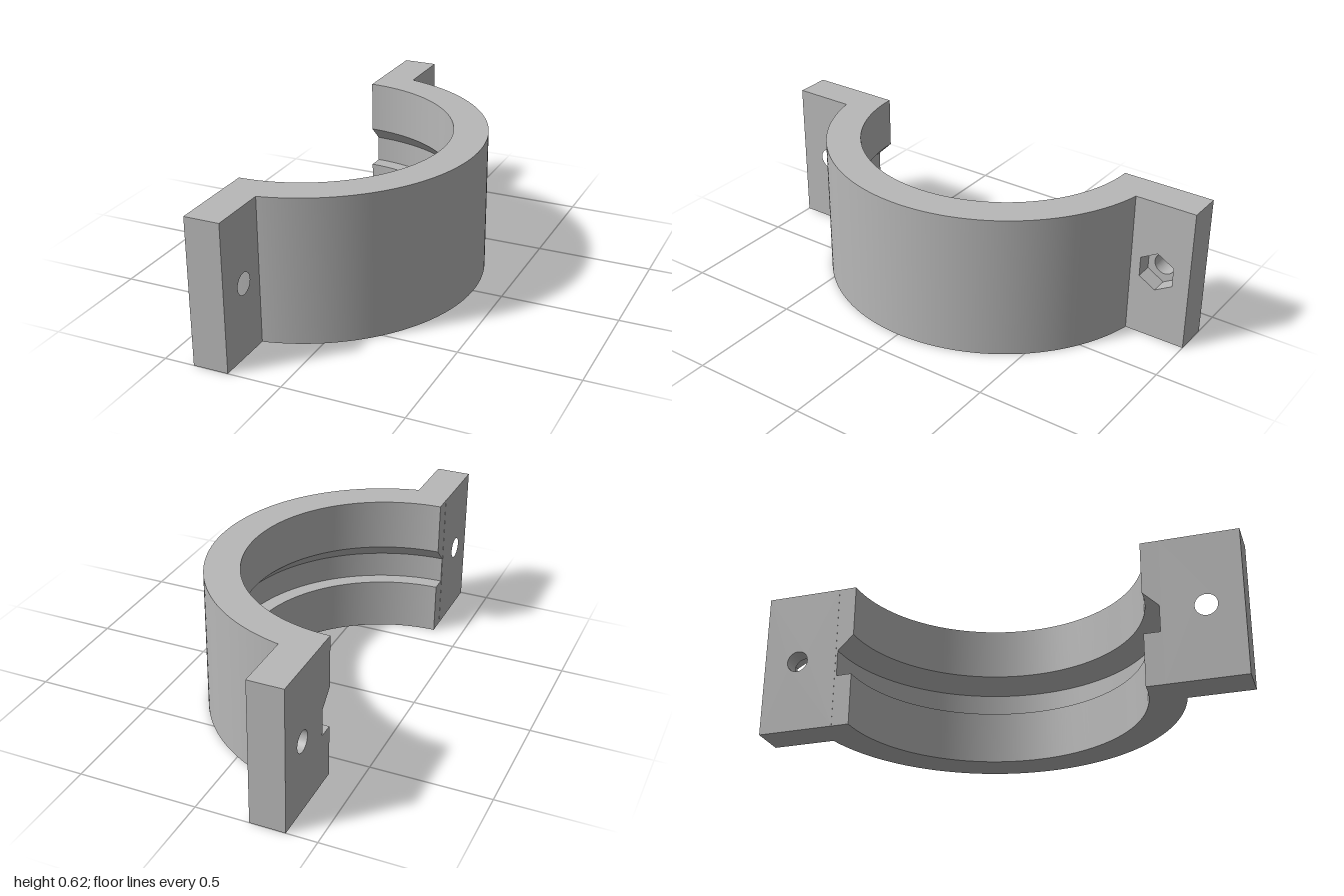
import * as THREE from 'three';
import { mergeGeometries } from 'three/addons/utils/BufferGeometryUtils.js';

const H = 0.62;                    // height of the clamp
const BACK = -0.373, FACE = -0.225; // mating face and bolting face of the flanges
const CX = -0.38;                  // axis of the half ring
const R_IN = 0.606, R_OUT = 0.753, R_GROOVE = 0.672;
const BOLT_Z = 0.853;

// Ring cross-section as [radius, height], counter-clockwise, with the inner groove
const PROFILE = [
  [R_OUT, 0], [R_OUT, H], [R_IN, H], [R_IN, 0.4],
  [R_GROOVE, 0.335], [R_GROOVE, 0.222], [R_IN, 0.222], [R_IN, 0],
].map(([r, y]) => new THREE.Vector2(r, y));

// Half ring: each profile edge is swept on its own so the edges stay sharp
function ringGeometry() {
  const start = Math.asin((BACK - CX) / R_IN);
  const end = Math.PI - start;
  const parts = PROFILE.map((p, i) =>
    new THREE.LatheGeometry([p, PROFILE[(i + 1) % PROFILE.length]], 96, start, end - start));
  // End caps
  const cap = (sign, angle) =>
    new THREE.ShapeGeometry(new THREE.Shape(PROFILE.map(p => new THREE.Vector2(sign * p.x, p.y)))).rotateY(angle);
  parts.push(cap(1, start - Math.PI / 2), cap(-1, end + Math.PI / 2));
  return mergeGeometries(parts).translate(CX, 0, 0);
}

// Bolt hole outlines
function roundHole(z) {
  return new THREE.Path().absarc(-z, H / 2, 0.045, 0, Math.PI * 2, true);
}
function hexHole(z) {
  const pts = [];
  for (let i = 0; i < 6; i++) {
    const a = Math.PI / 2 - i * Math.PI / 3;
    pts.push(new THREE.Vector2(-z + 0.085 * Math.cos(a), H / 2 + 0.085 * Math.sin(a)));
  }
  return new THREE.Path(pts);
}

// Flange layer between two x positions, pierced by one hole
function flangeLayer(side, x0, x1, hole) {
  const a = -side * 0.68, b = -side;
  const shape = new THREE.Shape([[a, 0], [b, 0], [b, H], [a, H]].map(p => new THREE.Vector2(...p)));
  shape.holes.push(hole(side * BOLT_Z));
  return new THREE.ExtrudeGeometry(shape, { depth: x1 - x0, bevelEnabled: false, curveSegments: 32 })
    .rotateY(Math.PI / 2).translate(x0, 0, 0);
}

export function createModel() {
  const model = new THREE.Group();
  model.name = 'halfClamp';
  const grey = new THREE.MeshStandardMaterial({ color: 0xb8b8b8 });
  grey.name = 'grey';
  const add = (name, geometry) => {
    const mesh = new THREE.Mesh(geometry, grey);
    mesh.name = name;
    model.add(mesh);
  };

  add('halfRing', ringGeometry());
  add('frontFlange', flangeLayer(1, BACK, FACE, roundHole));

  // Back flange has a hexagonal nut pocket on its bolting face
  const floor = FACE - 0.075;
  add('backFlange', mergeGeometries([
    flangeLayer(-1, BACK, floor, roundHole),
    flangeLayer(-1, floor, FACE, hexHole),
  ]));
  return model;
}
